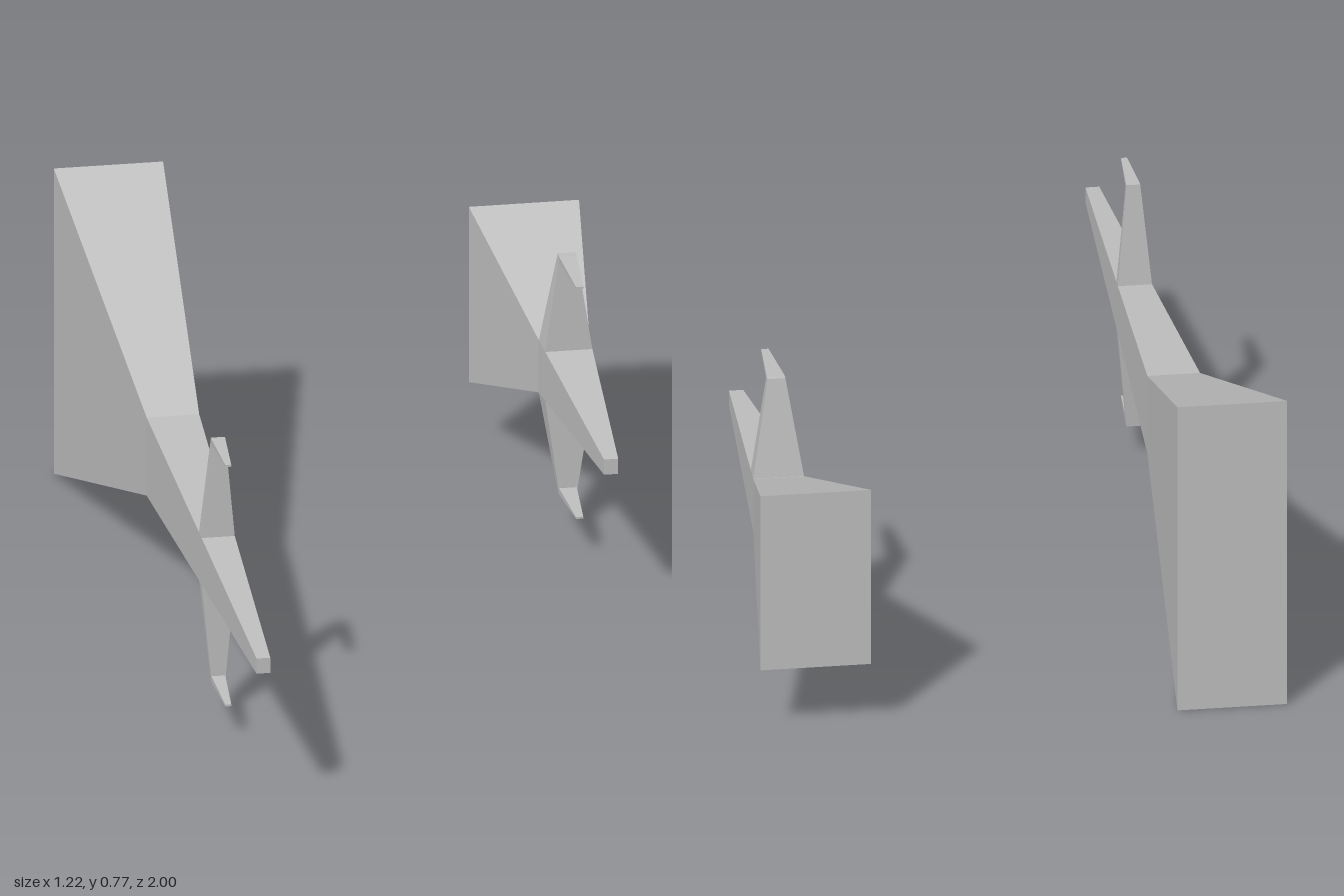
import * as THREE from 'three';

const MID_Y = 0.385; // height of the horizontal symmetry plane

const grey = new THREE.MeshStandardMaterial({ color: 0xc0c0c0 });
grey.name = 'plain grey';

// Closed solid through four-cornered rings, each counter-clockwise seen from its far end
function loft(name, rings) {
  const pos = [];
  const quad = (a, b, c, d) => pos.push(...a, ...b, ...c, ...a, ...c, ...d);
  for (let i = 0; i < rings.length - 1; i++) {
    for (let j = 0; j < 4; j++) {
      const k = (j + 1) % 4;
      quad(rings[i][j], rings[i][k], rings[i + 1][k], rings[i + 1][j]);
    }
  }
  quad(...[...rings[0]].reverse());
  quad(...rings[rings.length - 1]);
  const geo = new THREE.BufferGeometry();
  geo.setAttribute('position', new THREE.Float32BufferAttribute(pos, 3));
  geo.computeVertexNormals();
  const mesh = new THREE.Mesh(geo, grey);
  mesh.name = name;
  return mesh;
}

// Upright rectangular ring at depth z
const ringZ = (z, x0, x1, y0, y1) => [[x0, y0, z], [x1, y0, z], [x1, y1, z], [x0, y1, z]];

// Mirror rings through the symmetry plane, keeping faces outward
const flipY = (rings) => rings.map((r) => r.map(([x, y, z]) => [x, 2 * MID_Y - y, z]).reverse());

function createCraft(name, p) {
  const craft = new THREE.Group();
  craft.name = name;

  // Hull: slim nose widening to a tall flared tail
  const hull = p.sections.map(([z, x0, x1, h]) => ringZ(z, x0, x1, MID_Y - h, MID_Y + h));
  craft.add(loft('hull', hull));

  // Nose section edges at depth z, so the fins sit flush on the hull
  const [, mid, nose] = p.sections;
  const at = (z) => {
    const t = (z - mid[0]) / (nose[0] - mid[0]);
    const [, x0, x1, h] = mid.map((v, i) => THREE.MathUtils.lerp(v, nose[i], t));
    return { x0, x1, y: MID_Y + h };
  };
  const f = p.fin;
  const front = at(f.front);
  const back = at(f.back);
  const [x0, x1] = f.topX;
  const fin = [
    [[front.x0, front.y, f.front], [front.x1, front.y, f.front],
      [back.x1, back.y, f.back], [back.x0, back.y, f.back]],
    [[x0, f.top, f.front], [x1, f.top, f.front], [x1, f.top, f.topBack], [x0, f.top, f.topBack]],
  ];

  // Forward-pointing prong at the fin's end
  const prong = [
    ringZ(f.front, x0, x1, f.top - 0.015, f.top),
    ringZ(f.tipZ, f.tipX[0], f.tipX[1], f.tipY - 0.005, f.tipY),
  ];

  craft.add(loft('upperFin', fin), loft('upperProng', prong));
  craft.add(loft('lowerFin', flipY(fin)), loft('lowerProng', flipY(prong)));
  return craft;
}

export function createModel() {
  const model = new THREE.Group();
  model.name = 'pairOfFinnedCraft';

  // Sections: z, left edge, right edge, half height
  model.add(createCraft('longCraft', {
    sections: [
      [-1, -0.611, -0.357, 0.383],
      [-0.21, -0.52, -0.398, 0.098],
      [1, -0.456, -0.424, 0.019],
    ],
    fin: {
      front: 0.395, back: 0.366, top: 0.69, topBack: 0.386,
      topX: [-0.465, -0.433], tipX: [-0.456, -0.442], tipY: 0.688, tipZ: 0.54,
    },
  }));

  model.add(createCraft('shortCraft', {
    sections: [
      [-1, 0.353, 0.609, 0.22],
      [-0.575, 0.448, 0.566, 0.066],
      [0.013, 0.507, 0.54, 0.019],
    ],
    fin: {
      front: -0.515, back: -0.573, top: 0.683, topBack: -0.535,
      topX: [0.486, 0.527], tipX: [0.5, 0.517], tipY: 0.676, tipZ: -0.355,
    },
  }));
  return model;
}
